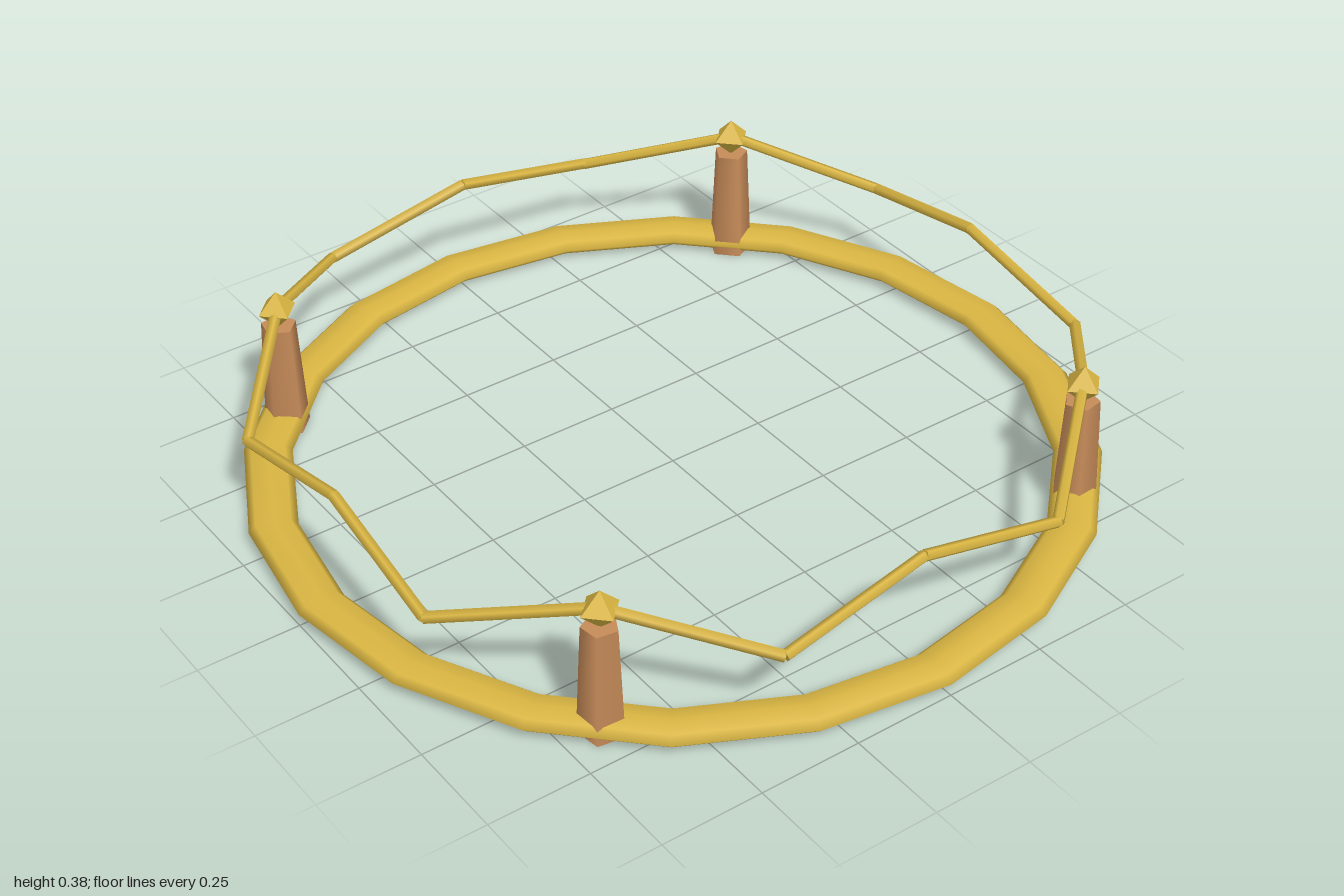
import * as THREE from 'three';

export function createModel() {
  const model = new THREE.Group();
  const gold = new THREE.MeshStandardMaterial({ color: 0xd9b542 });
  const goldFlat = new THREE.MeshStandardMaterial({ color: 0xd9b542, flatShading: true });
  const wood = new THREE.MeshStandardMaterial({ color: 0xc68b59 });

  const add = (name, geometry, material, parent = model) => {
    const mesh = new THREE.Mesh(geometry, material);
    mesh.name = name;
    parent.add(mesh);
    return mesh;
  };

  // Straight rod between two points
  const rod = (name, a, b, radius, parent) => {
    const dir = b.clone().sub(a);
    const mesh = add(name, new THREE.CylinderGeometry(radius, radius, dir.length(), 5), gold, parent);
    mesh.position.copy(a).add(b).multiplyScalar(0.5);
    mesh.quaternion.setFromUnitVectors(new THREE.Vector3(0, 1, 0), dir.normalize());
  };

  // Flattened base ring
  const ring = new THREE.TorusGeometry(0.943, 0.057, 8, 20);
  ring.rotateX(Math.PI / 2);
  ring.scale(1, 0.42, 1);
  add('baseRing', ring, gold).position.y = 0.03;

  // Rail of one side, dipping on both sides of its middle
  const railPoints = [
    [-0.655, 0.33, 0.655], [-0.37, 0.23, 0.9], [0, 0.307, 0.89],
    [0.37, 0.23, 0.9], [0.655, 0.33, 0.655],
  ].map((p) => new THREE.Vector3(...p));

  for (let i = 0; i < 4; i++) {
    const side = new THREE.Group();
    side.name = 'railingSide';
    side.rotation.y = (i * Math.PI) / 2;
    model.add(side);

    // Tapered five-sided post, one corner facing outward
    const post = add('post', new THREE.CylinderGeometry(0.042, 0.055, 0.285, 5), wood, side);
    post.position.set(0.655, 0.1425, 0.655);
    post.rotation.y = Math.PI / 4;

    // Diamond finial
    add('finial', new THREE.OctahedronGeometry(0.048), goldFlat, side).position.set(0.655, 0.328, 0.655);

    for (let k = 0; k < 4; k++) rod('rail', railPoints[k], railPoints[k + 1], 0.014, side);
  }
  return model;
}
